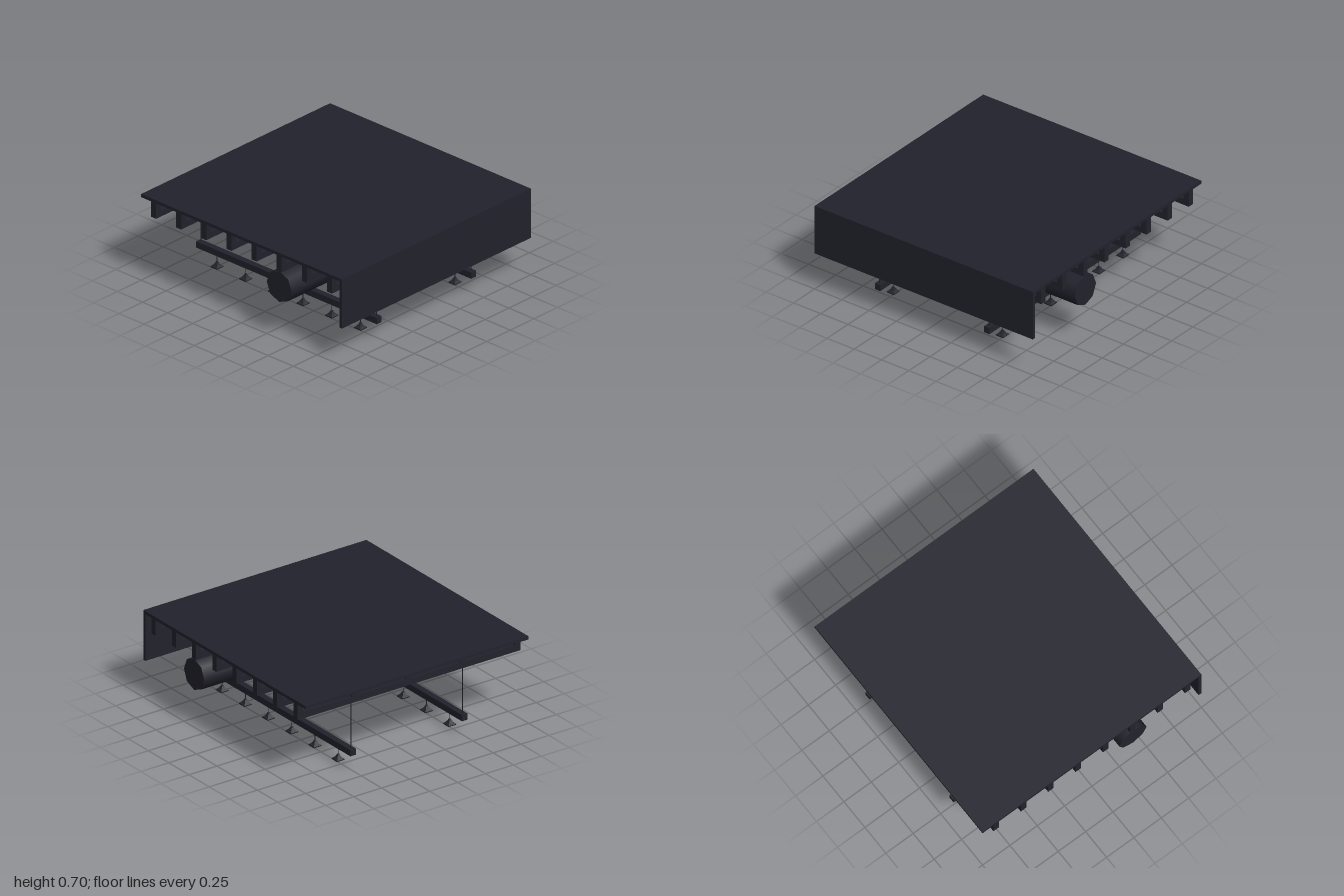
import * as THREE from 'three';

export function createModel() {
  const model = new THREE.Group();
  const dark = new THREE.MeshStandardMaterial({ name: 'charcoal', color: 0x22222d, side: THREE.DoubleSide });
  const glow = new THREE.MeshStandardMaterial({ name: 'bulb white', color: 0xd8d8d8 });

  function add(name, geometry, x, y, z, parent = model, material = dark) {
    const mesh = new THREE.Mesh(geometry, material);
    mesh.name = name;
    mesh.position.set(x, y, z);
    parent.add(mesh);
    return mesh;
  }
  const box = (w, h, d) => new THREE.BoxGeometry(w, h, d);
  const rod = (r, h) => new THREE.CylinderGeometry(r, r, h, 6);

  // Ceiling slab and side wall
  add('ceiling', box(2, 0.025, 2), 0, 0.6875, 0);
  add('sideWall', box(0.025, 0.375, 2), 0.9875, 0.4875, 0);

  // Open joists: a bottom chord hung from short posts
  const chord = box(0.05, 0.05, 2);
  const post = box(0.05, 0.075, 0.05);
  for (let i = 0; i < 8; i++) {
    const joist = new THREE.Group();
    joist.name = 'joist';
    joist.position.x = -0.875 + i * 0.25;
    add('joistChord', chord, 0, 0.575, 0, joist);
    for (let k = -2; k <= 2; k++) add('joistPost', post, 0, 0.6375, k * 0.4875, joist);
    model.add(joist);
  }

  // Octagonal duct with a branch into the wall
  add('mainDuct', new THREE.CylinderGeometry(0.125, 0.125, 2, 8), 0.375, 0.425, 0).rotation.x = Math.PI / 2;
  add('branchDuct', new THREE.CylinderGeometry(0.125, 0.125, 0.6, 8), 0.675, 0.425, 0).rotation.z = Math.PI / 2;

  // Square flared lampshade
  const shade = new THREE.LatheGeometry([
    [0.046, 0.022], [0.049, 0.03], [0.028, 0.042], [0.014, 0.058], [0.008, 0.068], [0, 0.068],
  ].map(([r, y]) => new THREE.Vector2(r, y)), 4).toNonIndexed();
  shade.rotateY(Math.PI / 4);
  shade.computeVertexNormals();
  const bulb = new THREE.SphereGeometry(0.007, 8, 6);
  bulb.scale(1, 2, 1);

  // Hanging light rails with six lamps each
  for (const z of [-0.5, 0.5]) {
    const rail = new THREE.Group();
    rail.name = 'lightRail';
    rail.position.z = z;
    add('railBar', box(1.8, 0.05, 0.05), 0, 0.15, 0, rail);
    for (const x of [-0.875, 0.875]) add('hangerRod', rod(0.004, 0.375), x, 0.3625, 0, rail);
    for (let i = 0; i < 6; i++) {
      const x = (i - 2.5) * 2 / 7;
      add('lampStem', rod(0.003, 0.065), x, 0.0975, 0, rail);
      add('lampShade', shade, x, 0, 0, rail);
      add('lampBulb', bulb, x, 0.014, 0, rail, glow);
    }
    model.add(rail);
  }

  // Central pull cord
  add('pullCord', rod(0.003, 0.51), 0, 0.42, 0);
  add('cordKnob', new THREE.SphereGeometry(0.015, 6, 4), 0, 0.162, 0);

  return model;
}
